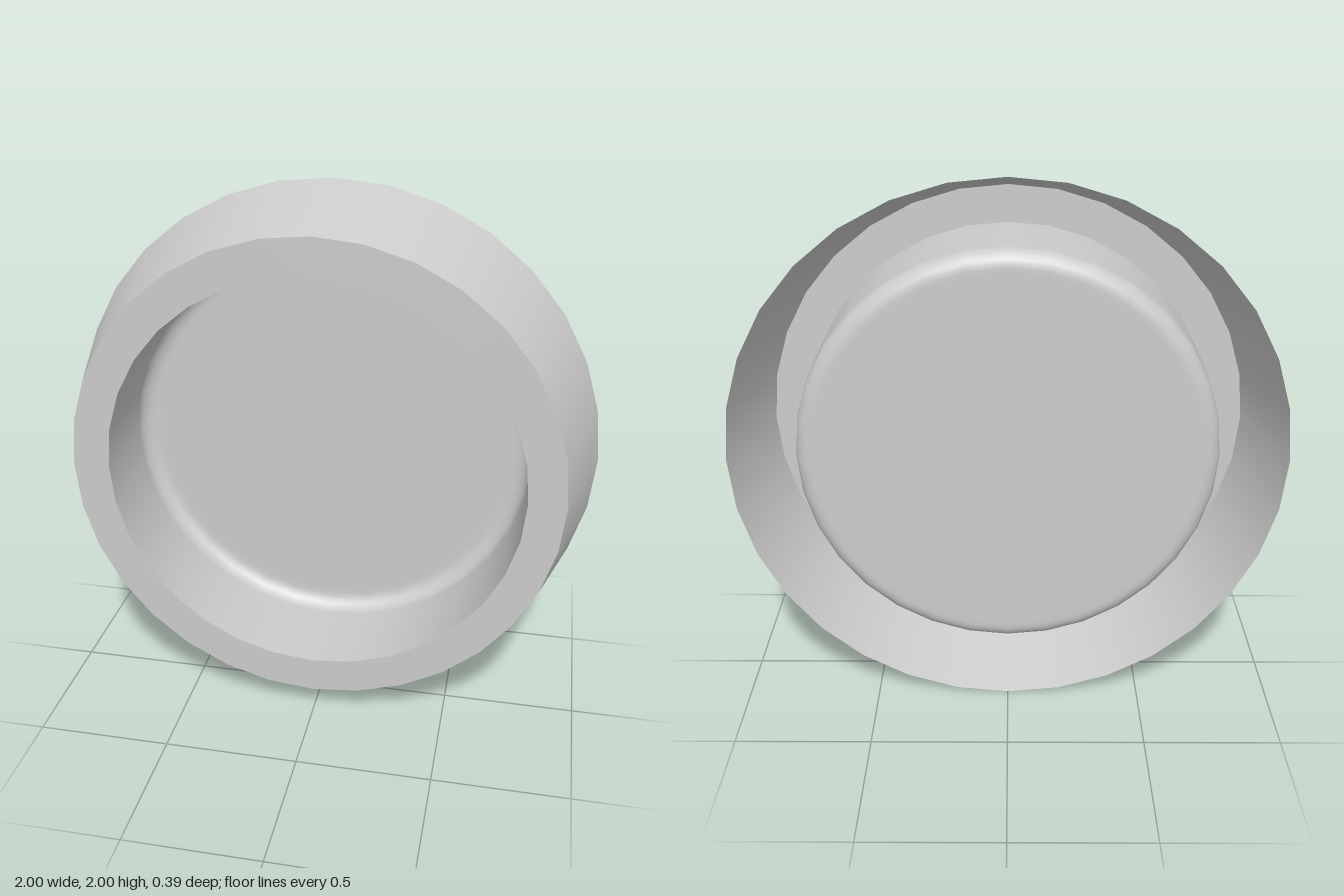
import * as THREE from 'three';

const SIDES = 32;
const HALF = 0.197; // half of the depth
const material = new THREE.MeshStandardMaterial({ color: 0xcccccc, side: THREE.DoubleSide });

// Turns a profile of [radius, z] points around the z axis
function turned(name, profile) {
  const geometry = new THREE.LatheGeometry(profile.map(([r, z]) => new THREE.Vector2(r, z)), SIDES);
  geometry.rotateX(Math.PI / 2);
  const mesh = new THREE.Mesh(geometry, material);
  mesh.name = name;
  return mesh;
}

export function createModel() {
  const group = new THREE.Group();
  group.name = 'roundDish';

  const rimRadius = 1, frontRadius = 0.895, panRadius = 0.76, fillet = 0.06;

  // Tapered outer skirt, open at the back
  group.add(turned('outerSkirt', [[rimRadius, -HALF], [frontRadius, HALF]]));

  // Flat ring on the front
  group.add(turned('frontRing', [[frontRadius, HALF], [panRadius, HALF]]));

  // Recessed pan: straight wall, rounded corner, flat floor
  const pan = [[panRadius, HALF]];
  const steps = 6;
  for (let i = 0; i <= steps; i++) {
    const a = (i / steps) * Math.PI / 2;
    pan.push([
      panRadius - fillet + fillet * Math.cos(a),
      -HALF + fillet - fillet * Math.sin(a),
    ]);
  }
  pan.push([panRadius - fillet - 0.02, -HALF], [0, -HALF]);
  group.add(turned('recessedPan', pan));

  group.position.y = 1;
  const model = new THREE.Group();
  model.add(group);
  return model;
}
